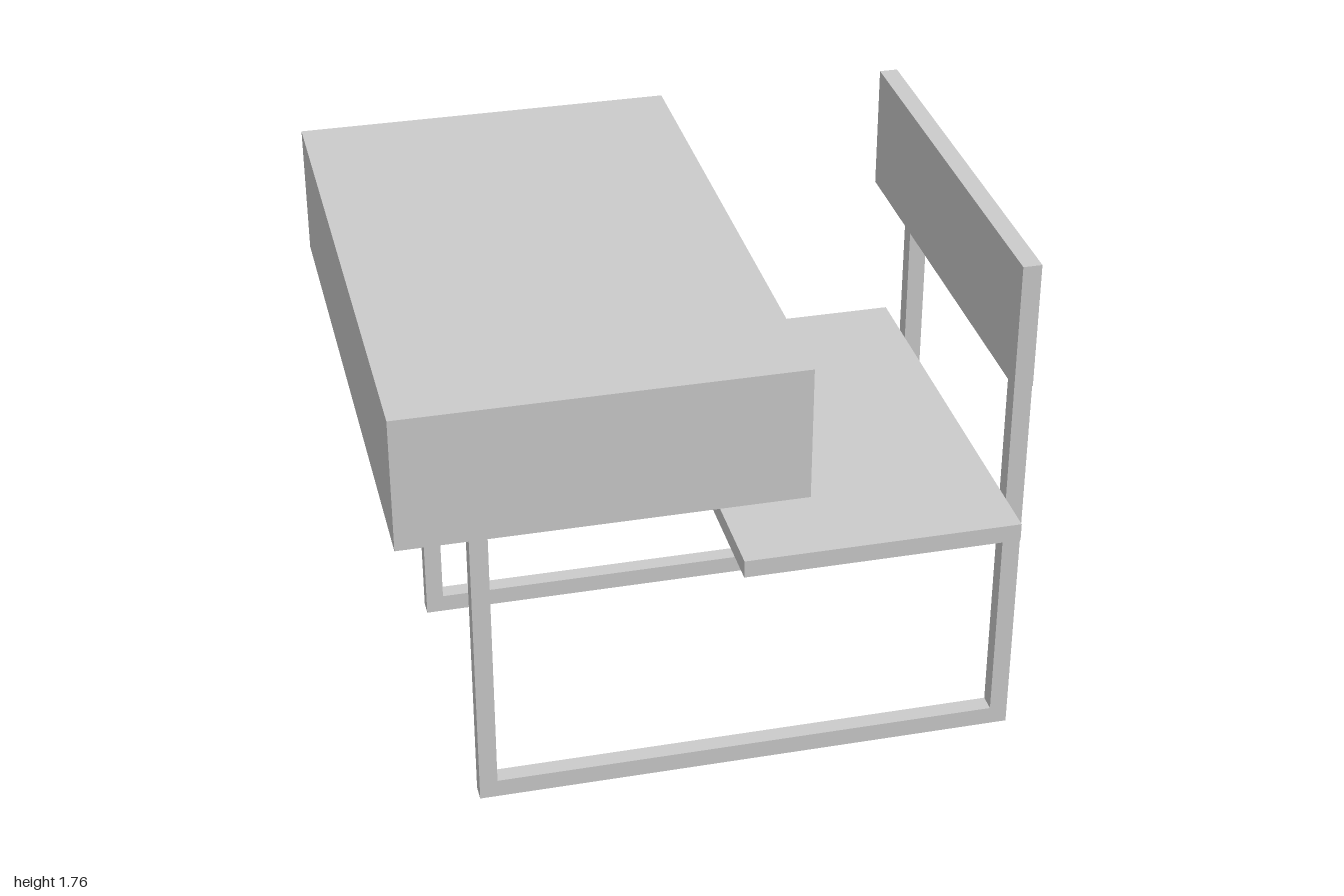
import * as THREE from 'three';

const material = new THREE.MeshStandardMaterial({ color: 0xcccccc });

// Box given by its extents on each axis
function slab(name, [x0, x1], [y0, y1], [z0, z1]) {
  const mesh = new THREE.Mesh(new THREE.BoxGeometry(x1 - x0, y1 - y0, z1 - z0), material);
  mesh.position.set((x0 + x1) / 2, (y0 + y1) / 2, (z0 + z1) / 2);
  mesh.name = name;
  return mesh;
}

// U-shaped side frame: desk post, floor runner and tall chair post in one bar
function sideFrame(name, z) {
  const bar = 0.057;
  const outline = [
    [-0.735, 0], [1, 0], [1, 1.63], [1 - bar, 1.63],
    [1 - bar, 0.06], [-0.735 + bar, 0.06], [-0.735 + bar, 1.225], [-0.735, 1.225],
  ].map(([x, y]) => new THREE.Vector2(x, y));
  const geometry = new THREE.ExtrudeGeometry(new THREE.Shape(outline), { depth: bar, bevelEnabled: false });
  geometry.translate(0, 0, -bar / 2);
  const mesh = new THREE.Mesh(geometry, material);
  mesh.position.z = z;
  mesh.name = name;
  return mesh;
}

export function createModel() {
  const group = new THREE.Group();
  group.name = 'schoolDesk';
  group.add(
    slab('deskBox', [-1, 0.2], [1.223, 1.645], [-0.93, 0.93]),
    slab('seat', [0.07, 0.943], [0.81, 0.868], [-0.7, 0.7]),
    slab('backrest', [0.885, 0.943], [1.358, 1.762], [-0.7, 0.7]),
    sideFrame('frontFrame', 0.525),
    sideFrame('backFrame', -0.51),
  );
  return group;
}
